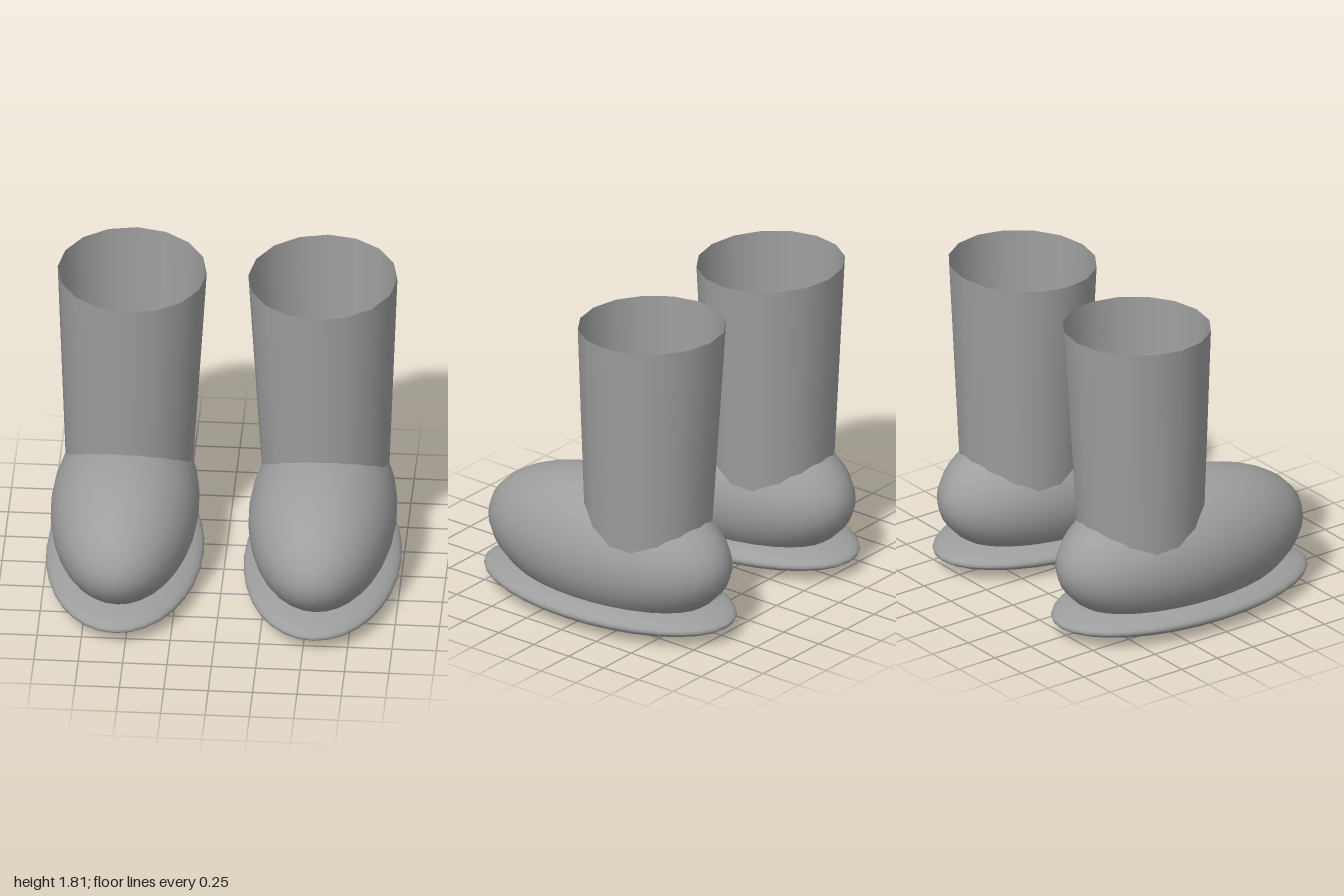
import * as THREE from 'three';

const boots = new THREE.MeshStandardMaterial({ color: 0x9e9e9e });
boots.name = 'boot grey';
const lining = new THREE.MeshStandardMaterial({ color: 0x9e9e9e, side: THREE.DoubleSide });
lining.name = 'shaft grey';

// Sphere stretched into an ellipsoid
function ellipsoid(name, rx, ry, rz, y) {
  const geo = new THREE.SphereGeometry(1, 32, 24).scale(rx, ry, rz);
  const mesh = new THREE.Mesh(geo, boots);
  mesh.name = name;
  mesh.position.y = y;
  return mesh;
}

// Open tapered tube, leaning slightly inward, with a sloping rim
function makeShaft(side) {
  const bottom = 0.5, top = 1.803;
  const geo = new THREE.CylinderGeometry(0.42, 0.357, top - bottom, 16, 1, true);
  geo.translate(0, (top + bottom) / 2, 0);
  const p = geo.attributes.position;
  for (let i = 0; i < p.count; i++) {
    const x = p.getX(i), y = p.getY(i), z = p.getZ(i);
    const t = (y - bottom) / (top - bottom);
    p.setXYZ(i,
      x - side * (0.004 + 0.016 * t),
      y + side * 0.013 * x - 0.03 * z,
      z - 0.27 - 0.012 * t);
  }
  const mesh = new THREE.Mesh(geo, lining);
  mesh.name = 'shaft';
  return mesh;
}

export function createModel() {
  const model = new THREE.Group();
  model.name = 'pair of boots';
  for (const side of [1, -1]) {
    const boot = new THREE.Group();
    boot.name = side > 0 ? 'leftBoot' : 'rightBoot';
    boot.add(
      ellipsoid('sole', 0.443, 0.1, 0.837, 0.102),
      ellipsoid('foot', 0.416, 0.403, 0.812, 0.405),
      makeShaft(side));
    boot.position.x = side * 0.557;
    model.add(boot);
  }
  return model;
}
